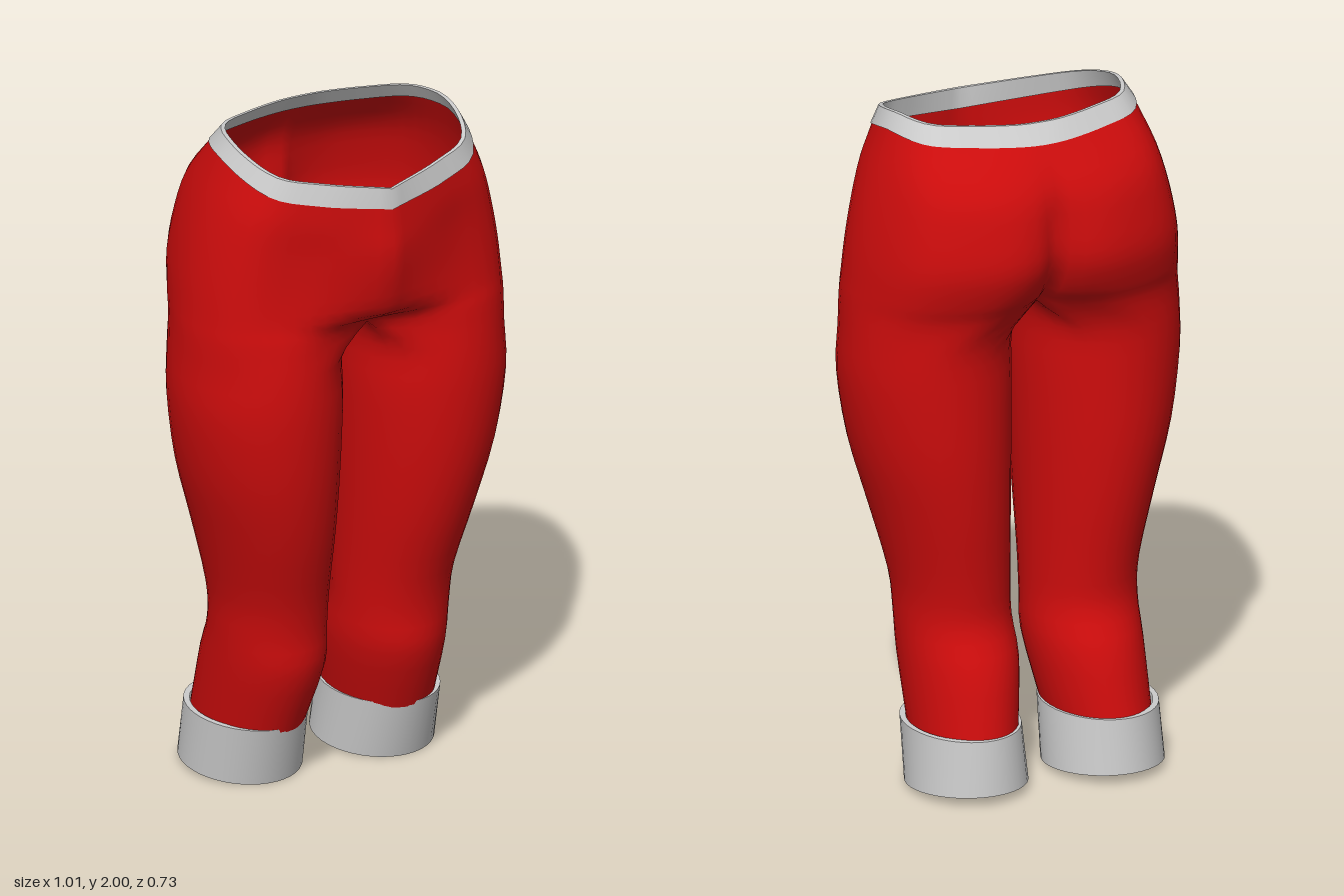
import * as THREE from 'three';
import { mergeVertices, mergeGeometries, toCreasedNormals } from 'three/addons/utils/BufferGeometryUtils.js';

const OUT = 30, INNER = 9, STEPS = 3; // columns round the outside, round the inner thigh, rows per span
const V = (x, y, z) => new THREE.Vector3(x, y, z);
const lerp = THREE.MathUtils.lerp;

// Dip of the waistline towards the front and slightly towards the back
const dip = (z) => (z > 0 ? -0.115 * (z / 0.35) ** 1.4 : -0.02 * (z / 0.24) ** 2);

// Half section of the hips, from centre front round the side to centre back
function hipRow([y, tilt, fc, xf, zf, xo, zm, xb, zb, nz, bc]) {
  const curve = new THREE.CatmullRomCurve3([
    V(0, 0, fc), V(xf, 0, zf),
    V(lerp(xf, xo, 0.72), 0, lerp(zm, zf, 0.72)), V(xo, 0, zm), V(lerp(xb, xo, 0.72), 0, lerp(zm, zb, 0.72)),
    V(xb, 0, zb), V(0.06, 0, nz), V(0, 0, bc),
  ]);
  return curve.getSpacedPoints(OUT).map((p) => V(p.x, y + tilt * dip(p.z), p.z));
}

// Closed oval section of a leg: outer columns first, then the inner thigh
function legRow([y, xi, xo, zf, zb, yBack = y]) {
  const at = (deg) => {
    const a = THREE.MathUtils.degToRad(deg), s = Math.sin(a);
    return V((xi + xo) / 2 - ((xo - xi) / 2) * Math.cos(a), lerp(yBack, y, (s + 1) / 2), (zf + zb) / 2 + ((zf - zb) / 2) * s);
  };
  const row = [];
  for (let k = 0; k <= OUT; k++) row.push(at(50 + (260 * k) / OUT));
  for (let j = 1; j < INNER; j++) row.push(at(310 + (100 * j) / INNER));
  return row;
}

// Skin between rows; a row pair closes into a tube when both rows are full rings
function skin(rows, mirror) {
  const pos = [], index = [], start = [];
  for (const row of rows) {
    start.push(pos.length / 3);
    for (const p of row) pos.push(mirror ? -p.x : p.x, p.y, p.z);
  }
  for (let r = 0; r + 1 < rows.length; r++) {
    const n = rows[r].length, closed = n > OUT + 1;
    for (let k = 0; k < (closed ? n : n - 1); k++) {
      const k1 = (k + 1) % n;
      const a = start[r] + k, b = start[r] + k1, c = start[r + 1] + k, d = start[r + 1] + k1;
      if (mirror) index.push(a, b, c, b, d, c);
      else index.push(a, c, b, b, c, d);
    }
  }
  const g = new THREE.BufferGeometry();
  g.setAttribute('position', new THREE.Float32BufferAttribute(pos, 3));
  g.setIndex(index);
  return g;
}

// Both halves joined on the centre line
function bothSides(rows) {
  const g = mergeVertices(mergeGeometries([skin(rows, false), skin(rows, true)]), 1e-4);
  g.computeVertexNormals();
  return g;
}

// Grow or shrink a row about a centre
const scaled = (row, s, cx, cz, dy = 0) => row.map((p) => V(cx + (p.x - cx) * s, p.y + dy, cz + (p.z - cz) * s));

// y, tilt, centre front z, front x z, side x z, buttock x z, z beside centre back, centre back z
const HIPS = [
  [1.955, 1, 0.35, 0.2, 0.29, 0.375, 0.04, 0.2, -0.195, -0.235, -0.24],
  [1.84, 0.5, 0.355, 0.23, 0.28, 0.42, 0.03, 0.2, -0.305, -0.318, -0.305],
  [1.72, 0.15, 0.362, 0.23, 0.273, 0.456, 0.02, 0.18, -0.347, -0.345, -0.31],
  [1.6, 0, 0.345, 0.24, 0.268, 0.48, 0.02, 0.18, -0.36, -0.35, -0.3],
  [1.5, 0, 0.305, 0.25, 0.27, 0.492, 0.02, 0.19, -0.325, -0.3, -0.24],
  [1.44, 0, 0.2, 0.25, 0.277, 0.498, 0.02, 0.2, -0.292, -0.235, -0.18],
];
// y, inner x, outer x, front z, back z
const LEGS = [
  [1.34, 0.02, 0.502, 0.288, -0.266],
  [1.2, 0.02, 0.505, 0.295, -0.265],
  [1.0, 0.025, 0.475, 0.28, -0.265],
  [0.8, 0.03, 0.42, 0.24, -0.25],
  [0.6, 0.033, 0.37, 0.18, -0.225],
  [0.48, 0.033, 0.36, 0.16, -0.225],
  [0.36, 0.03, 0.358, 0.155, -0.285],
  [0.17, 0.06, 0.355, 0.08, -0.335],
];

function trouserRows() {
  const hips = HIPS.map(hipRow), crotch = hips.length - 1;
  // The last hip row gains the crotch seam, which becomes the inner thigh
  const last = hips[crotch], front = last[0], back = last[OUT];
  for (let j = 1; j < INNER; j++) last.push(back.clone().lerp(front, j / INNER));
  const control = [...hips, ...LEGS.map(legRow)];
  const total = (control.length - 1) * STEPS;
  const rows = Array.from({ length: total + 1 }, () => []);
  // Smooth every column downwards
  for (let k = 0; k < last.length; k++) {
    const first = k > OUT ? crotch : 0;
    const curve = new THREE.CatmullRomCurve3(control.slice(first).map((r) => r[k]), false, 'catmullrom', 0.5);
    const skip = first * STEPS;
    for (let i = skip; i <= total; i++) {
      const p = curve.getPoint((i - skip) / (total - skip));
      p.x = Math.max(0, p.x);
      rows[i].push(p);
    }
  }
  // Rows above the crotch have no inner columns
  return rows;
}

export function createModel() {
  const group = new THREE.Group();
  const red = new THREE.MeshStandardMaterial({ color: 0xcc0c0c, side: THREE.DoubleSide });
  const grey = new THREE.MeshStandardMaterial({ color: 0xcccccc, side: THREE.DoubleSide });
  const add = (name, geometry, material, parent = group) => {
    const mesh = new THREE.Mesh(geometry, material);
    mesh.name = name;
    parent.add(mesh);
  };

  // Hips and both legs
  add('trousers', bothSides(trouserRows()), red);

  // Waistband, leaning inwards at the back, with a thin folded edge
  const low = hipRow(HIPS[0]);
  const top = hipRow([2.0, 0.85, 0.35, 0.19, 0.283, 0.352, 0.05, 0.19, -0.16, -0.197, -0.2]);
  const band = [scaled(low, 1.012, 0, 0.05), top, scaled(top, 0.965, 0, 0.05), scaled(low, 0.965, 0, 0.05)];
  add('waistband', toCreasedNormals(bothSides(band), 0.7), grey);

  // Cuffs: slightly flared tubes with a lip on the leg and a red hem underneath
  const cuffTop = legRow([0.185, 0.05, 0.378, 0.085, -0.343, 0.19]);
  const cuffEnd = legRow([0, 0.04, 0.385, 0.03, -0.36, 0.028]);
  const cuff = [scaled(cuffTop, 0.9, 0.214, -0.13), cuffTop, cuffEnd];
  const hem = [cuffEnd, scaled(cuffEnd, 0.95, 0.2125, -0.165, 0.003), scaled(cuffEnd, 0.95, 0.2125, -0.165, 0.02)];
  for (const mirror of [false, true]) {
    const side = new THREE.Group();
    side.name = mirror ? 'rightCuff' : 'leftCuff';
    add('cuff', toCreasedNormals(skin(cuff, mirror), 0.7), grey, side);
    add('hem', toCreasedNormals(skin(hem, mirror), 0.7), red, side);
    group.add(side);
  }
  return group;
}
